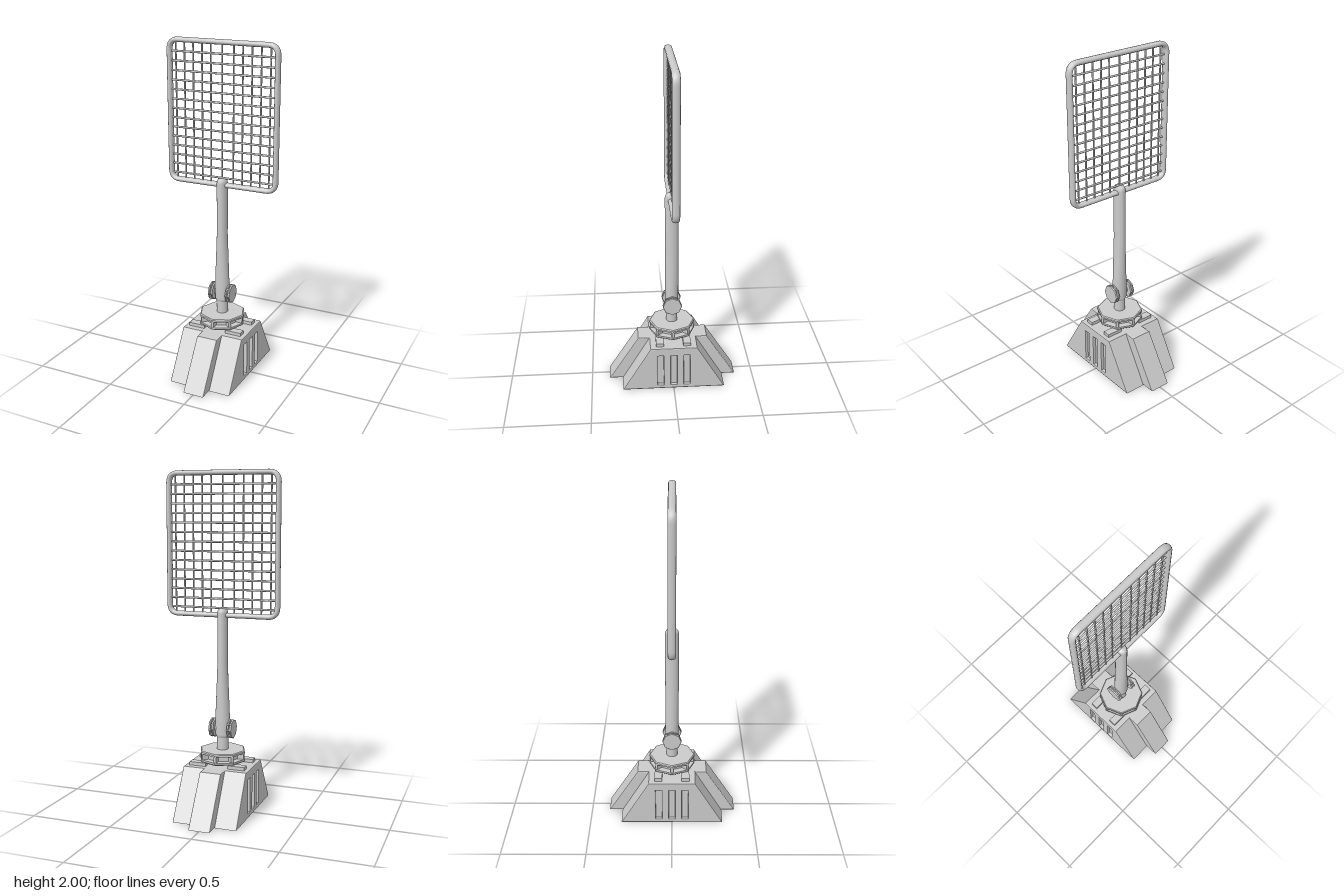
import * as THREE from 'three';

const material = new THREE.MeshStandardMaterial({ color: 0xcccccc });
const flat = new THREE.MeshStandardMaterial({ color: 0xcccccc, flatShading: true });

function add(parent, name, geometry, mat = flat, x = 0, y = 0, z = 0) {
  const mesh = new THREE.Mesh(geometry, mat);
  mesh.name = name;
  mesh.position.set(x, y, z);
  parent.add(mesh);
  return mesh;
}

// Trapezoid side profile (z, y) stretched across x with small bevels
function wedge(bottom, top, height, halfWidth, holes = []) {
  const b = 0.006;
  const shape = new THREE.Shape([[-bottom, 0], [bottom, 0], [top, height], [-top, height]]
    .map(([z, y]) => new THREE.Vector2(z, y)));
  for (const [z, y0, y1, w] of holes) {
    shape.holes.push(new THREE.Path([[z - w, y0], [z - w, y1], [z + w, y1], [z + w, y0]]
      .map(([a, c]) => new THREE.Vector2(a, c))));
  }
  const geo = new THREE.ExtrudeGeometry(shape, {
    depth: 2 * (halfWidth - b), bevelEnabled: true, bevelSize: b, bevelThickness: b,
    bevelOffset: -b, bevelSegments: 2,
  });
  return geo.translate(0, 0, b - halfWidth).rotateY(-Math.PI / 2);
}

// Octagonal reel: two flanges, a narrower hub and a rib at each corner
function reel(name, radius, height, hubRadius, flange) {
  const g = new THREE.Group();
  g.name = name;
  const c = flange * 0.35;
  for (const s of [-1, 1]) {
    const y = s * (height - flange) / 2;
    add(g, 'flange', new THREE.CylinderGeometry(radius, radius, flange - c, 8), flat, 0, y - s * c / 2, 0);
    const cap = new THREE.CylinderGeometry(radius * 0.96, radius, c, 8);
    if (s < 0) cap.rotateX(Math.PI);
    add(g, 'flangeBevel', cap, flat, 0, y + s * (flange - c) / 2, 0);
  }
  add(g, 'hub', new THREE.CylinderGeometry(hubRadius, hubRadius, height - flange, 8));
  const length = radius * 0.96 - hubRadius * 0.8;
  for (let i = 0; i < 8; i++) {
    const rib = new THREE.BoxGeometry(radius * 0.12, height - flange, length);
    rib.translate(0, 0, hubRadius * 0.8 + length / 2).rotateY(i * Math.PI / 4);
    add(g, 'rib', rib);
  }
  return g;
}

function buildBase() {
  const g = new THREE.Group();
  g.name = 'base';
  const slots = [-0.08, 0, 0.08];
  add(g, 'body', wedge(0.31, 0.14, 0.285, 0.195, slots.map(z => [z, 0.025, 0.232, 0.019])));
  add(g, 'centreRib', wedge(0.39, 0.21, 0.285, 0.065));
  // Floors of the recessed side slots
  for (const z of slots) add(g, 'slotFloor', new THREE.BoxGeometry(0.35, 0.235, 0.06), flat, 0, 0.13, z);
  for (const x of [-0.12, 0.12]) {
    for (const z of [-0.082, 0.082]) {
      add(g, 'topPad', new THREE.BoxGeometry(0.1, 0.022, 0.046), flat, x, 0.294, z);
    }
  }
  return g;
}

function buildPole() {
  const profile = [[0, 0.435], [0.024, 0.438], [0.034, 0.448], [0.04, 0.465], [0.04, 0.57], [0.04, 0.65],
    [0.04, 0.75], [0.04, 0.87], [0.04, 1.185], [0.037, 1.2], [0.03, 1.21], [0, 1.213]];
  const geo = new THREE.LatheGeometry(profile.map(p => new THREE.Vector2(...p)), 24);
  // Taper the width only: round below, narrow above
  const p = geo.attributes.position;
  for (let i = 0; i < p.count; i++) {
    const t = THREE.MathUtils.clamp((p.getY(i) - 0.57) / 0.3, 0, 1);
    p.setX(i, p.getX(i) * (1.08 - 0.33 * t));
  }
  geo.computeVertexNormals();
  return geo;
}

// Rounded rectangular loop of oval tube
function buildFrame(hx, y0, y1, r) {
  const V = (x, y) => new THREE.Vector3(x, y, 0);
  const corners = [[hx, y0, 0, 1], [hx, y1, -1, 0], [-hx, y1, 0, -1], [-hx, y0, 1, 0]];
  const path = new THREE.CurvePath();
  corners.forEach(([x, y, dx, dy], i) => {
    const [nx, ny, ex, ey] = corners[(i + 1) % 4];
    const end = V(nx - dx * r, ny - dy * r);
    path.add(new THREE.LineCurve3(V(x + dx * r, y + dy * r), end));
    path.add(new THREE.QuadraticBezierCurve3(end, V(nx, ny), V(nx + ex * r, ny + ey * r)));
  });
  return new THREE.TubeGeometry(path, 260, 0.015, 12, true).scale(1, 1, 1.5);
}

export function createModel() {
  const model = new THREE.Group();
  model.name = 'meshPanelStand';
  model.add(buildBase());

  // Swivel
  add(model, 'swivelStem', new THREE.CylinderGeometry(0.034, 0.034, 0.18, 20), material, 0, 0.37, 0);
  const turntable = reel('turntable', 0.14, 0.068, 0.1, 0.016);
  turntable.position.y = 0.34;
  model.add(turntable);

  // Pole and its clamp knobs
  add(model, 'pole', buildPole(), material);
  add(model, 'hingeBolt', new THREE.CylinderGeometry(0.025, 0.025, 0.1, 16).rotateZ(Math.PI / 2), material, 0, 0.5, 0);
  for (const s of [-1, 1]) {
    const knob = reel('clampKnob', 0.058, 0.028, 0.04, 0.009);
    knob.rotation.z = -s * Math.PI / 2;
    knob.position.set(s * 0.056, 0.5, 0);
    model.add(knob);
  }

  // Panel: frame with a wire grid
  const panel = new THREE.Group();
  panel.name = 'panel';
  model.add(panel);
  add(panel, 'frame', buildFrame(0.33, 1.174, 1.985, 0.055), material);
  const columns = [0];
  for (let i = 0; i < 5; i++) columns.push(0.07 + i * 0.055, -0.07 - i * 0.055);
  for (const x of columns) {
    add(panel, 'verticalWire', new THREE.CylinderGeometry(0.005, 0.005, 0.8, 8), material, x, 1.58, 0);
  }
  for (let i = 0; i < 14; i++) {
    const wire = new THREE.CylinderGeometry(0.006, 0.006, 0.65, 8).rotateZ(Math.PI / 2);
    add(panel, 'horizontalWire', wire, material, 0, 1.215 + i * 0.0543, 0);
  }
  return model;
}
